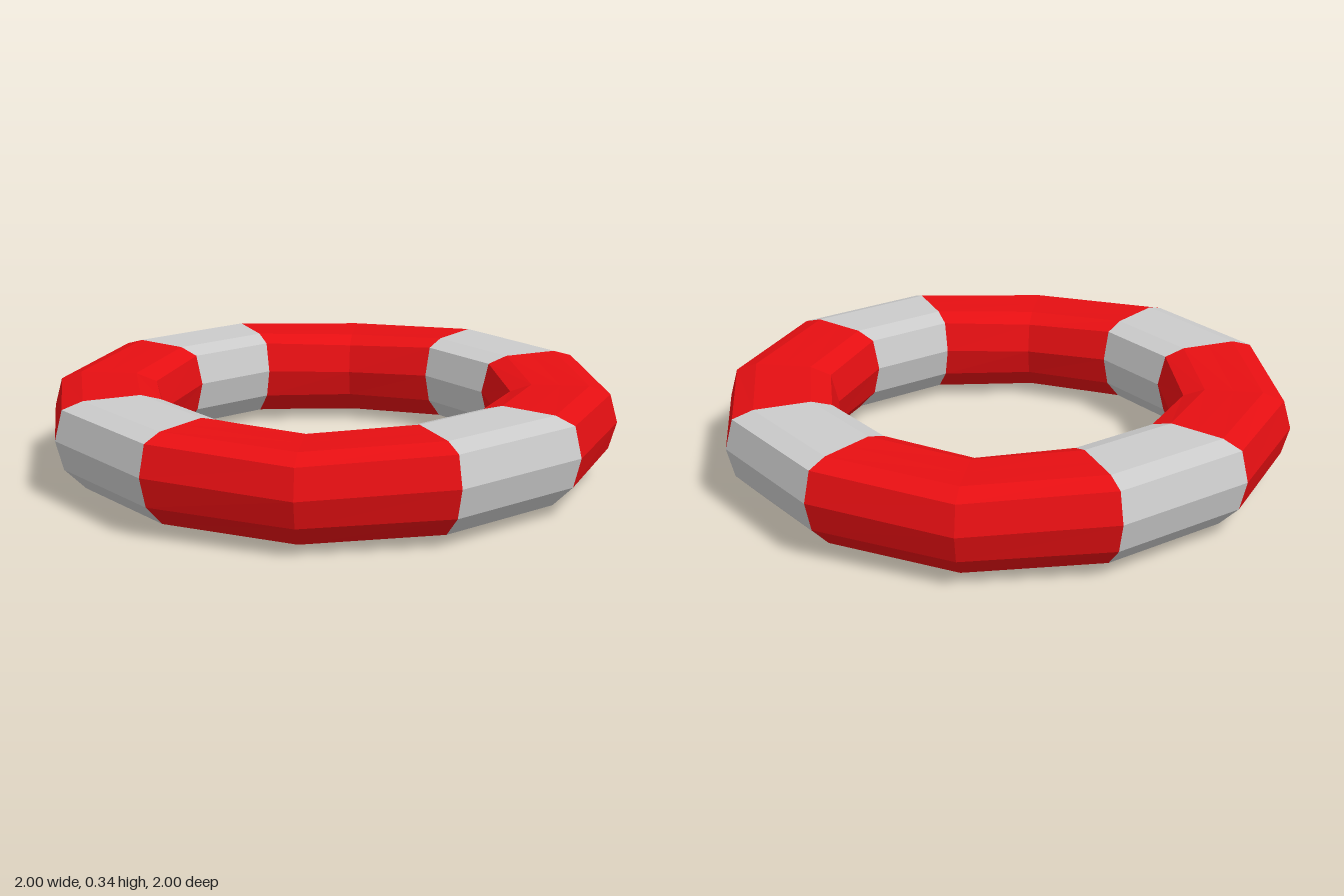
import * as THREE from 'three';

// Cross-section radii, going outer -> top -> inner -> bottom
const RADII = [1, 0.973, 0.9, 0.8, 0.7, 0.627, 0.6, 0.627, 0.7, 0.8, 0.9, 0.973];
// Heights of the section in the middle of a red arc, and where red meets grey
const MIDDLE = [0.2, 0.3, 0.327, 0.327, 0.327, 0.3, 0.2, 0.105, 0.03, 0, 0.03, 0.105];
const SEAM = [0.215, 0.319, 0.342, 0.342, 0.342, 0.319, 0.215, 0.112, 0.038, 0.015, 0.038, 0.112];

// Faceted tube joining consecutive 30 degree steps around the ring
function arcGeometry(firstStep, lastStep) {
  const positions = [];
  const index = [];
  const n = RADII.length;
  for (let step = firstStep; step <= lastStep; step++) {
    const angle = step * Math.PI / 6;
    const heights = step % 3 === 0 ? MIDDLE : SEAM;
    RADII.forEach((r, i) => positions.push(r * Math.cos(angle), heights[i], r * Math.sin(angle)));
  }
  for (let s = 0; s < lastStep - firstStep; s++) {
    for (let i = 0; i < n; i++) {
      const j = (i + 1) % n;
      const a = s * n + i, b = s * n + j, c = a + n, d = b + n;
      index.push(a, b, c, b, d, c);
    }
  }
  const geometry = new THREE.BufferGeometry();
  geometry.setAttribute('position', new THREE.Float32BufferAttribute(positions, 3));
  geometry.setIndex(index);
  const faceted = geometry.toNonIndexed();
  faceted.computeVertexNormals();
  return faceted;
}

export function createModel() {
  const red = new THREE.MeshStandardMaterial({ color: 0xe60f12, flatShading: true });
  const grey = new THREE.MeshStandardMaterial({ color: 0xcccccc, flatShading: true });
  const ring = new THREE.Group();
  ring.name = 'lifebuoy';

  // Four long red arcs alternating with four short grey bands
  for (let q = 0; q < 4; q++) {
    const arc = new THREE.Mesh(arcGeometry(q * 3 - 1, q * 3 + 1), red);
    arc.name = 'redArc' + (q + 1);
    const band = new THREE.Mesh(arcGeometry(q * 3 + 1, q * 3 + 2), grey);
    band.name = 'greyBand' + (q + 1);
    ring.add(arc, band);
  }
  return ring;
}
